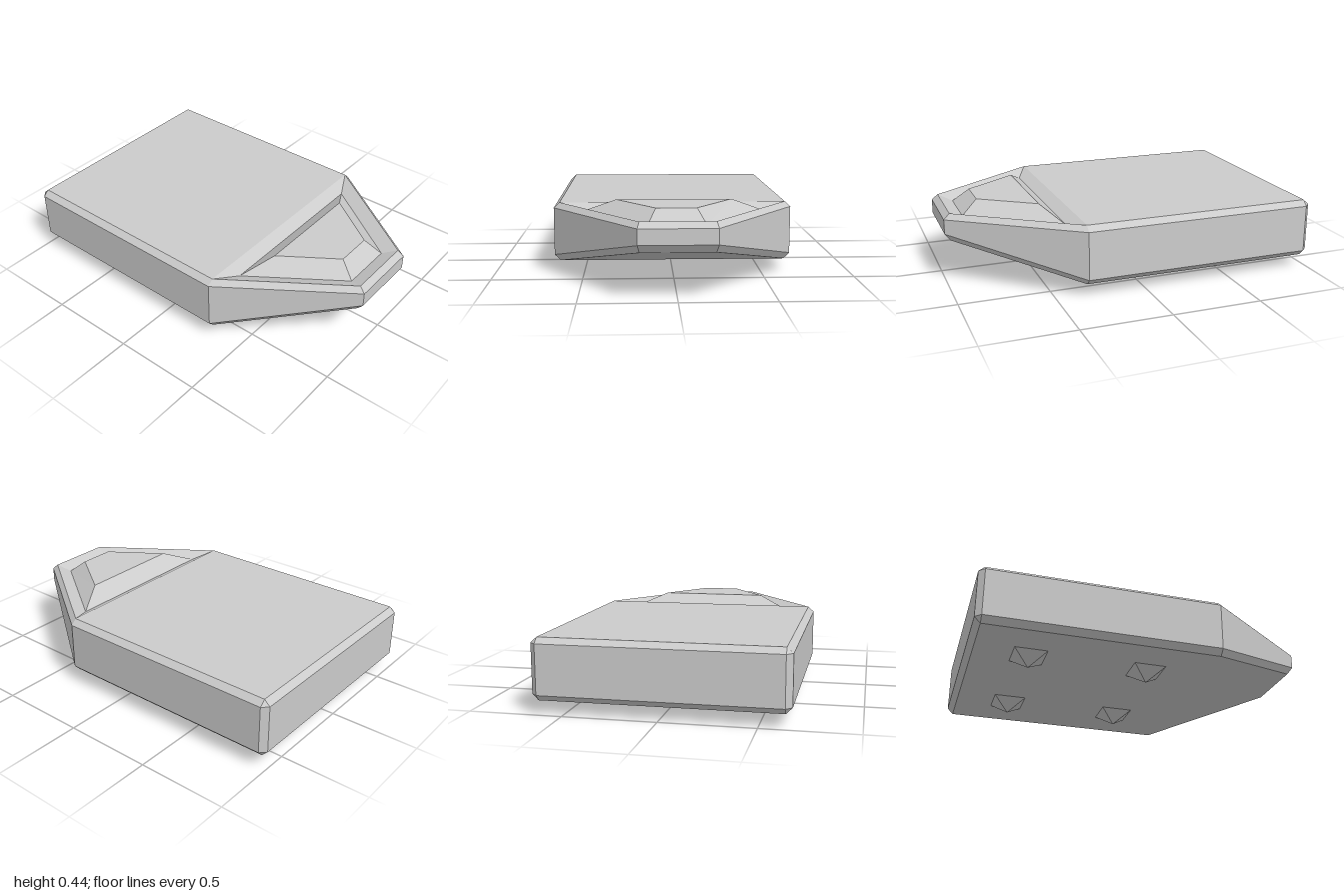
import * as THREE from 'three';

const material = new THREE.MeshStandardMaterial({ color: 0xcccccc, flatShading: true });

// Mirrors the +x half of an outline (front to back) into a closed loop.
const ring = (half) => [...half, ...half.map(([x, y, z]) => [-x, y, z]).reverse()];

// Band of quads joining two loops, from the outer/lower one to the inner/upper one.
const loft = (a, b) => a.map((p, i) => {
  const j = (i + 1) % a.length;
  return [p, a[j], b[j], b[i]];
});

function facetedMesh(name, quads) {
  const positions = [];
  const tri = new THREE.Triangle();
  for (const [a, b, c, d] of quads) {
    for (const t of [[a, b, c], [a, c, d]]) {
      tri.set(...t.map((p) => new THREE.Vector3(...p)));
      if (tri.getArea() > 1e-7) positions.push(...t.flat()); // skip collapsed corners
    }
  }
  const geometry = new THREE.BufferGeometry();
  geometry.setAttribute('position', new THREE.Float32BufferAttribute(positions, 3));
  geometry.computeVertexNormals();
  const mesh = new THREE.Mesh(geometry, material);
  mesh.name = name;
  return mesh;
}

export function createModel() {
  const model = new THREE.Group();
  model.name = 'wedgeNosedCraft';

  // Hull loops: nose tip, shoulder, rear side, rear end
  const outer = (tipY, y) => ring([[0.2, tipY, 1], [0.665, y, 0.333], [0.665, y, -0.967], [0.632, y, -1]]);
  const inset = (tipY, y) => ring([[0.19, tipY, 0.967], [0.632, y, 0.333], [0.632, y, -0.967], [0.632, y, -0.967]]);
  const keel = inset(0.245, 0.07);
  const lower = outer(0.288, 0.103);
  const upper = outer(0.37, 0.37);
  const top = inset(0.4, 0.4);

  model.add(facetedMesh('hull', [
    ...loft(keel, lower), // bottom chamfer
    ...loft(lower, upper), // sides
    ...loft(upper, top), // top chamfer
    [keel[6], keel[5], keel[2], keel[1]], // flat underside
    [keel[7], keel[6], keel[1], keel[0]], // sloping nose underside
    [top[1], top[2], top[5], top[6]], // deck
  ]));

  // Sunken surround and raised block on the nose
  const rim = [top[0], top[1], top[6], top[7]];
  const base = ring([[0.15, 0.365, 0.89], [0.49, 0.365, 0.403]]);
  const crown = ring([[0.105, 0.44, 0.8], [0.312, 0.44, 0.5]]);
  model.add(facetedMesh('noseRecess', loft(rim, base)));
  model.add(facetedMesh('noseBlock', [...loft(base, crown), crown]));

  // Four pointed square feet
  const footGeometry = new THREE.ConeGeometry(0.09 * Math.SQRT2, 0.07, 4)
    .rotateY(Math.PI / 4).rotateX(Math.PI).translate(0, 0.035, 0);
  for (const x of [-0.333, 0.333]) {
    for (const z of [0, -0.667]) {
      const foot = new THREE.Mesh(footGeometry, material);
      foot.name = 'foot';
      foot.position.set(x, 0, z);
      model.add(foot);
    }
  }
  return model;
}
